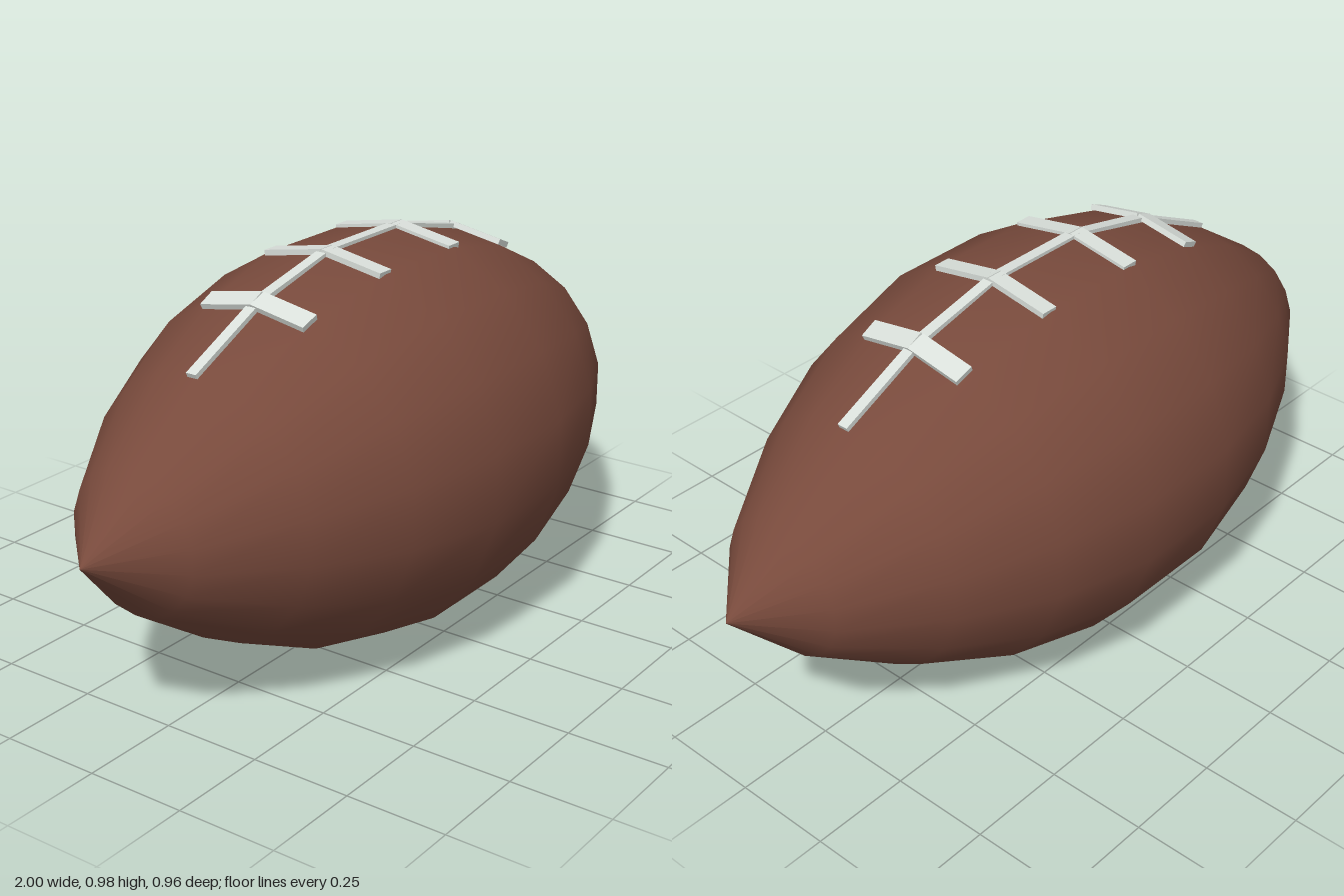
import * as THREE from 'three';

const CENTRE = 0.486;
// half profile: distance along the long axis, radius
const PROFILE = [[0.14, 0.486], [0.39, 0.426], [0.62, 0.318], [0.84, 0.171], [1, 0]];

export function createModel() {
  const group = new THREE.Group();
  const leather = new THREE.MeshStandardMaterial({ color: 0x784a3c });
  leather.name = 'brown leather';
  const lacing = new THREE.MeshStandardMaterial({ color: 0xd9dfda });
  lacing.name = 'pale lacing';

  // Ball body: 18-sided lathe laid on its side, one edge facing up
  const points = [
    ...PROFILE.slice().reverse().map(([x, r]) => new THREE.Vector2(r, -x)),
    ...PROFILE.map(([x, r]) => new THREE.Vector2(r, x)),
  ];
  const geometry = new THREE.LatheGeometry(points, 18, Math.PI / 2);
  geometry.rotateZ(Math.PI / 2);
  const ball = new THREE.Mesh(geometry, leather);
  ball.name = 'ball';
  ball.position.y = CENTRE;
  group.add(ball);

  // Flat strap from a to b, with its face towards up
  function strap(name, a, b, up, width, thickness) {
    const along = b.clone().sub(a);
    const length = along.length();
    along.normalize();
    const normal = up.clone().addScaledVector(along, -up.dot(along)).normalize();
    const side = along.clone().cross(normal);
    const mesh = new THREE.Mesh(new THREE.BoxGeometry(length, thickness, width), lacing);
    mesh.name = name;
    mesh.quaternion.setFromRotationMatrix(new THREE.Matrix4().makeBasis(along, normal, side));
    mesh.position.copy(a).add(b).multiplyScalar(0.5);
    group.add(mesh);
  }

  // Long lace following the top ridge
  const ridge = [[-0.63, 0.318], [-0.39, 0.43], [-0.14, 0.486], [0.14, 0.486], [0.39, 0.43], [0.63, 0.318]];
  const up = new THREE.Vector3(0, 1, 0);
  for (let i = 0; i < ridge.length - 1; i++) {
    const [a, b] = [ridge[i], ridge[i + 1]].map(([x, r]) => new THREE.Vector3(x, CENTRE + r, 0));
    strap('longLace', a, b, up, 0.028, 0.012);
  }

  // Cross laces, each bent over the ridge in two halves
  const bend = Math.PI / 9;
  for (const end of [-1, 1]) {
    for (const [x, radius, tilt, width] of [[0.142, 0.487, 0, 0.044], [0.4, 0.43, 0.4, 0.05]]) {
      for (const side of [-1, 1]) {
        const a = new THREE.Vector3(end * x, CENTRE + radius, 0);
        const b = new THREE.Vector3(end * x, CENTRE + radius * Math.cos(bend), side * radius * Math.sin(bend));
        const normal = new THREE.Vector3(end * Math.sin(tilt), Math.cos(tilt), side * 0.17);
        strap('crossLace', a, b, normal, width, 0.014);
      }
    }
  }
  return group;
}
